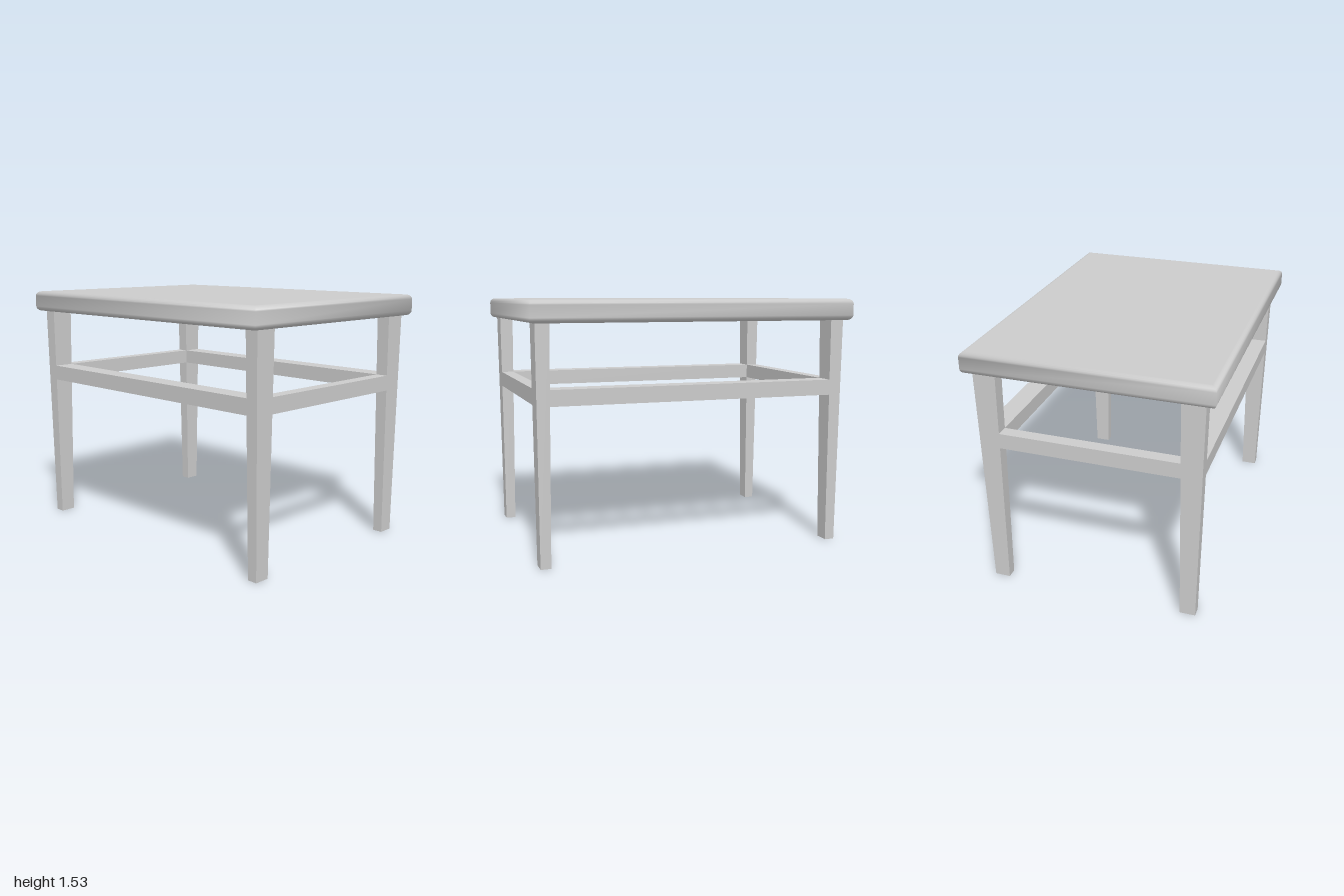
import * as THREE from 'three';

const material = new THREE.MeshStandardMaterial({ color: 0xcccccc });
const insideMaterial = new THREE.MeshStandardMaterial({ color: 0xcccccc, side: THREE.BackSide });
const TOP_LOW = 1.40, TOP_HIGH = 1.53, PANEL = 1.505;
const HALF_X = 0.728, HALF_Z = 1, RIM = 0.03;

// Faces of a leg at height y; legs widen slightly towards the top.
const taper = (low, high) => (y) => THREE.MathUtils.lerp(low, high, y / TOP_LOW);
const xInner = taper(0.555, 0.534), xOuter = taper(0.65, 0.671);
const zInner = taper(0.89, 0.88), zOuter = taper(0.952, 0.963);

// Ranges as functions of y: one side of the frame, or the gap between legs.
const side = (inner, outer, s) => (y) => (s > 0 ? [inner(y), outer(y)] : [-outer(y), -inner(y)]);
const between = (inner) => (y) => [-inner(y), inner(y)];

// Box whose x and z limits follow the given ranges.
function block(name, y0, y1, xRange, zRange) {
  const geo = new THREE.BoxGeometry(1, 1, 1);
  const p = geo.attributes.position;
  for (let i = 0; i < p.count; i++) {
    const y = p.getY(i) < 0 ? y0 : y1;
    p.setXYZ(i, xRange(y)[p.getX(i) < 0 ? 0 : 1], y, zRange(y)[p.getZ(i) < 0 ? 0 : 1]);
  }
  geo.computeVertexNormals();
  const mesh = new THREE.Mesh(geo, material);
  mesh.name = name;
  return mesh;
}

// Outer skin of the top: rounded rims, square plan corners, open below.
function topSkin() {
  const steps = 5, profile = [];
  for (let i = 0; i <= steps; i++) {
    const a = (i / steps) * Math.PI / 2;
    profile.push([RIM * (1 - Math.sin(a)), TOP_LOW + RIM * (1 - Math.cos(a))]);
  }
  for (let i = 0; i <= steps; i++) {
    const a = (i / steps) * Math.PI / 2;
    profile.push([RIM * (1 - Math.cos(a)), TOP_HIGH - RIM * (1 - Math.sin(a))]);
  }

  const positions = [], index = [];
  for (const [inset, y] of profile)
    for (const [sx, sz] of [[1, 1], [1, -1], [-1, -1], [-1, 1]])
      positions.push(sx * (HALF_X - inset), y, sz * (HALF_Z - inset));
  for (let k = 0; k < profile.length - 1; k++) {
    for (let c = 0; c < 4; c++) {
      const a = k * 4 + c, b = k * 4 + (c + 1) % 4;
      index.push(a, b, b + 4, a, b + 4, a + 4);
    }
  }
  const t = (profile.length - 1) * 4;
  index.push(t, t + 1, t + 2, t, t + 2, t + 3);

  const geo = new THREE.BufferGeometry();
  geo.setAttribute('position', new THREE.Float32BufferAttribute(positions, 3));
  geo.setIndex(index);
  geo.computeVertexNormals();
  return geo;
}

// Hollow under the top: a box seen from inside, without its lower face.
function recess() {
  const geo = new THREE.BoxGeometry(2 * (HALF_X - RIM), PANEL - TOP_LOW, 2 * (HALF_Z - RIM));
  const index = Array.from(geo.index.array);
  index.splice(18, 6);
  geo.setIndex(index);
  geo.clearGroups();
  return geo.translate(0, (PANEL + TOP_LOW) / 2, 0);
}

export function createModel() {
  const model = new THREE.Group();
  model.name = 'table';

  const top = new THREE.Mesh(topSkin(), material);
  top.name = 'tableTop';
  const underside = new THREE.Mesh(recess(), insideMaterial);
  underside.name = 'tableTopUnderside';
  model.add(top, underside);

  // Four tapered legs, reaching up into the recess
  for (const [sx, xName] of [[1, 'Left'], [-1, 'Right']])
    for (const [sz, zName] of [[1, 'front'], [-1, 'back']])
      model.add(block(`${zName}${xName}Leg`, 0, PANEL,
        side(xInner, xOuter, sx), side(zInner, zOuter, sz)));

  // Stretchers flush with the leg faces
  for (const s of [1, -1]) {
    model.add(block(s > 0 ? 'frontStretcher' : 'backStretcher', 0.936, 1.031,
      between(xInner), side(zInner, zOuter, s)));
    model.add(block(s > 0 ? 'leftStretcher' : 'rightStretcher', 0.936, 1.031,
      side(xInner, xOuter, s), between(zInner)));
  }
  return model;
}
